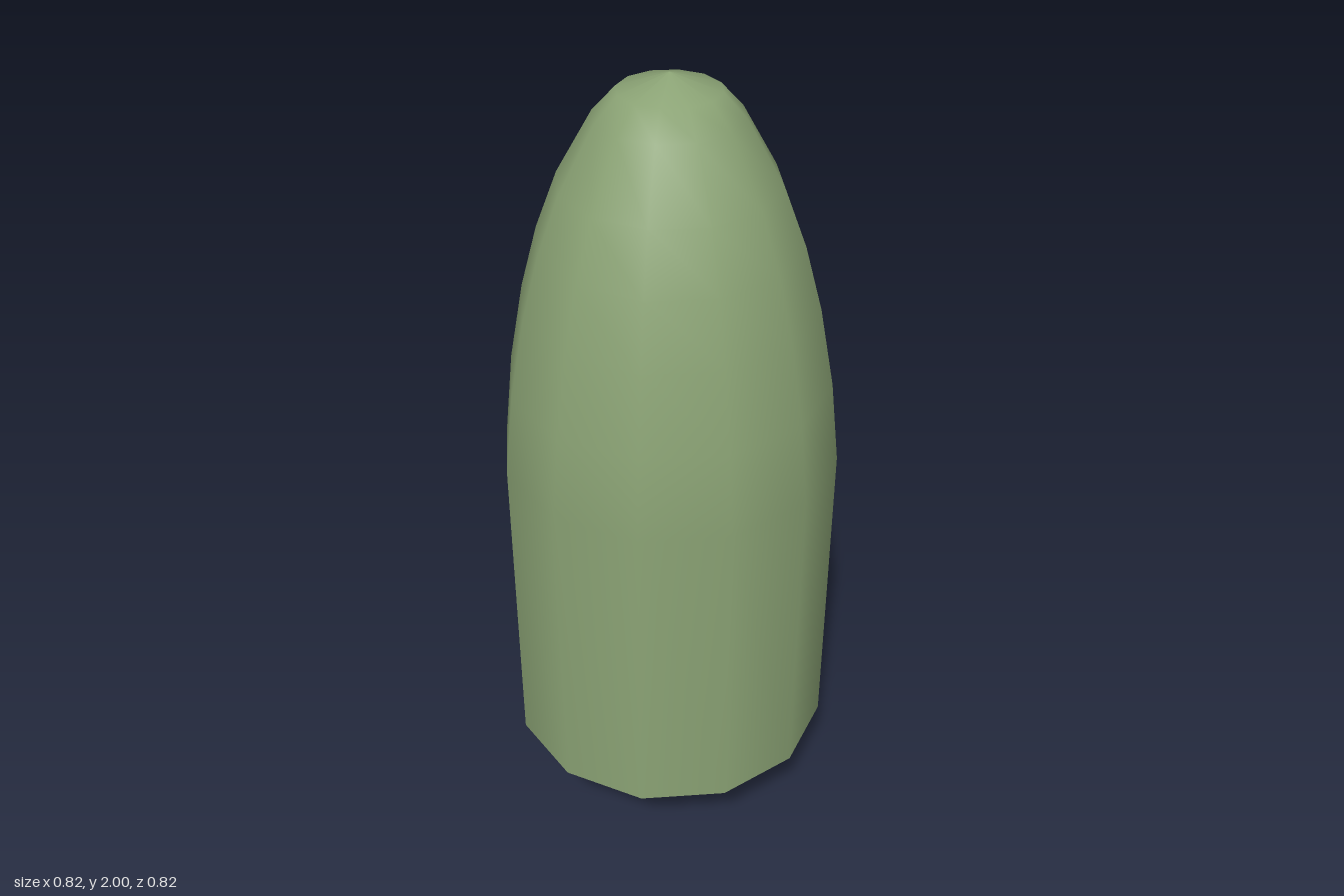
import * as THREE from 'three';

const SIDES = 12;
const BASE_Y = 0.245;
const RADIUS = 0.41;

export function createModel() {
  const model = new THREE.Group();
  model.name = 'tree';
  const leaf = new THREE.MeshStandardMaterial({ color: 0x8aa274 });
  const bark = new THREE.MeshStandardMaterial({ color: 0x8b7868 });

  const add = (name, geometry, material, y) => {
    const mesh = new THREE.Mesh(geometry, material);
    mesh.name = name;
    mesh.position.y = y;
    model.add(mesh);
  };

  // Foliage: straight sides below, bullet-shaped dome above
  const profile = [
    [RADIUS, BASE_Y], [RADIUS, 1.065], [0.387, 1.27], [0.35, 1.465], [0.308, 1.618],
    [0.255, 1.756], [0.17, 1.905], [0.117, 1.962], [0, 2],
  ].map(([r, y]) => new THREE.Vector2(r, y));
  add('foliage', new THREE.LatheGeometry(profile, SIDES), leaf, 0);

  // Flat underside of the foliage
  add('foliageUnderside', new THREE.CircleGeometry(RADIUS, SIDES).rotateX(Math.PI / 2), leaf, BASE_Y);

  // Thin trunk, reaching slightly into the foliage
  const trunkHeight = BASE_Y + 0.02;
  add('trunk', new THREE.CylinderGeometry(0.029, 0.029, trunkHeight, 8), bark, trunkHeight / 2);

  return model;
}
